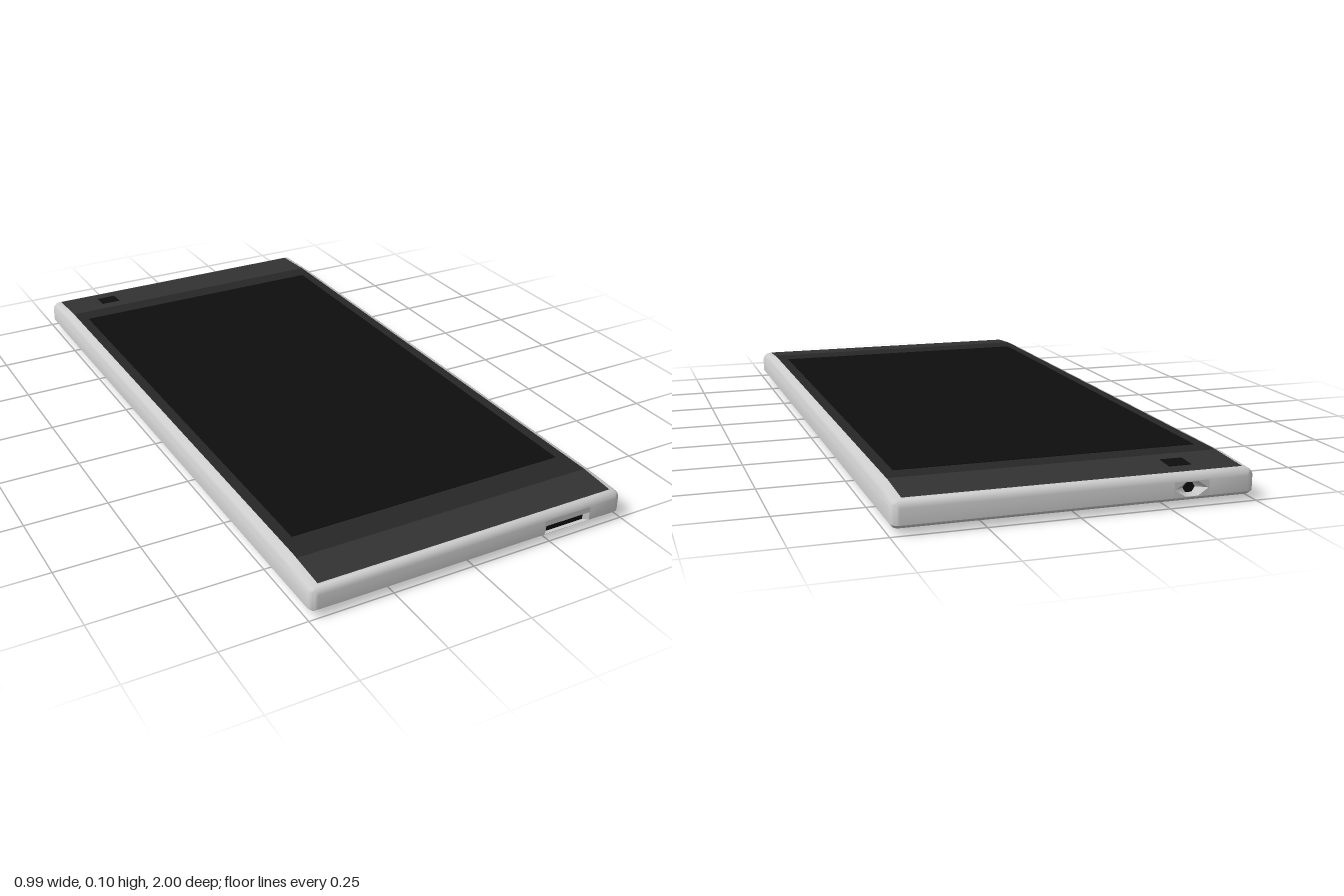
import * as THREE from 'three';
import { toCreasedNormals } from 'three/addons/utils/BufferGeometryUtils.js';

const material = (color) => new THREE.MeshStandardMaterial({ color });
const grey = material(0xcccccc);
const black = material(0x0e0e0e);
const glassDark = material(0x272727);
const glassLight = material(0x323232);

function add(parent, name, geometry, mat) {
  const mesh = new THREE.Mesh(geometry, mat);
  mesh.name = name;
  parent.add(mesh);
  return mesh;
}

function fromTriangles(points) {
  const geometry = new THREE.BufferGeometry().setFromPoints(points);
  return toCreasedNormals(geometry, 0.7);
}

// Shell levels from bottom to top: inset in x, inset in z, height
const levels = [
  [0.06, 0.12, 0], [0.038, 0.07, 0.004], [0.022, 0.035, 0.009], [0.009, 0.012, 0.017],
  [0, 0, 0.027], [0, 0, 0.07], [0.003, 0.002, 0.08], [0.009, 0.006, 0.089],
  [0.018, 0.012, 0.096], [0.03, 0.02, 0.1],
];
const FRONT_PORT = 0, BACK_PORT = 14; // outline segments left open for the ports

// Outline of the shell at one level; the top rim dips towards both ends
function outline([ix, iz, y]) {
  const a = 0.495 - ix, b = 1 - iz, r = Math.max(0.003, 0.022 - ix);
  const edges = [
    [[0.23, b], [0.385, b]], [[a, 0.85], [a, -0.85]],
    [[-0.26, -b], [-0.36, -b]], [[-a, -0.85], [-a, 0.85]],
  ];
  const flat = [];
  edges.forEach((edge, k) => {
    flat.push(...edge);
    const sx = k < 2 ? 1 : -1, sz = k === 0 || k === 3 ? 1 : -1;
    for (let j = 0; j <= 4; j++) {
      const t = (k + j / 4) * Math.PI / 2;
      flat.push([sx * (a - r) + r * Math.sin(t), sz * (b - r) + r * Math.cos(t)]);
    }
  });
  return flat.map(([x, z]) => {
    const dip = 0.008 * THREE.MathUtils.clamp((Math.abs(z) - 0.85) / 0.13, 0, 1);
    return new THREE.Vector3(x, y - dip * Math.max(0, (y - 0.07) / 0.03), z);
  });
}

function shellGeometry() {
  const rings = levels.map(outline), n = rings[0].length, tris = [];
  for (let l = 0; l < rings.length - 1; l++) {
    const lo = rings[l], hi = rings[l + 1];
    for (let i = 0; i < n; i++) {
      if (levels[l][2] === 0.027 && (i === FRONT_PORT || i === BACK_PORT)) continue;
      const j = (i + 1) % n;
      tris.push(lo[i], lo[j], hi[j], lo[i], hi[j], hi[i]);
    }
  }
  const centre = new THREE.Vector3();
  for (let i = 0; i < n; i++) tris.push(centre, rings[0][(i + 1) % n], rings[0][i]);
  return fromTriangles(tris);
}

const toShape = (points) => new THREE.Shape(points.map(([x, y]) => new THREE.Vector2(x, y)));

// Port on the +z end: face plate with a hole, flared walls and a dark floor
function port(name, x0, x1, outer, inner, depth) {
  const group = new THREE.Group();
  group.name = name;
  const plate = toShape([[x0, 0.027], [x1, 0.027], [x1, 0.07], [x0, 0.07]]);
  plate.holes.push(toShape(outer));
  add(group, name + 'Plate', new THREE.ShapeGeometry(plate).translate(0, 0, 1), grey);
  const o = outer.map(([x, y]) => new THREE.Vector3(x, y, 1));
  const d = inner.map(([x, y]) => new THREE.Vector3(x, y, 1 - depth));
  const tris = [];
  o.forEach((p, i) => {
    const j = (i + 1) % o.length;
    tris.push(p, o[j], d[j], p, d[j], d[i]);
  });
  add(group, name + 'Walls', fromTriangles(tris), grey);
  add(group, name + 'Floor', new THREE.ShapeGeometry(toShape(inner)).translate(0, 0, 1 - depth), black);
  return group;
}

// Slab of glass across the width, from a profile of [z, y] points
function glassGeometry(profile) {
  return new THREE.ExtrudeGeometry(toShape(profile), { depth: 0.93, bevelEnabled: false })
    .rotateY(-Math.PI / 2).translate(0.465, 0, 0);
}

export function createModel() {
  const model = new THREE.Group();
  model.name = 'phone';

  add(model, 'shell', shellGeometry(), grey);

  // Charging slot at the front, flared at its two ends
  model.add(port('chargingSlot', 0.23, 0.385,
    [[0.231, 0.028], [0.384, 0.028], [0.384, 0.053], [0.231, 0.053]],
    [[0.245, 0.028], [0.37, 0.028], [0.37, 0.053], [0.245, 0.053]], 0.012));

  // Headphone socket at the back, a six-sided funnel
  const ring = [];
  for (let i = 0; i < 6; i++) {
    const t = Math.PI + i * Math.PI / 3;
    ring.push([0.31 + 0.018 * Math.cos(t), 0.0485 + 0.016 * Math.sin(t)]);
  }
  const socket = port('headphoneSocket', 0.26, 0.36,
    [[0.262, 0.0485], [0.292, 0.029], [0.328, 0.029], [0.358, 0.0485], [0.328, 0.068], [0.292, 0.068]],
    ring, 0.02);
  socket.rotation.y = Math.PI;
  model.add(socket);

  // Front glass: flat middle with gently sloping ends
  add(model, 'glassMiddle', glassGeometry([[-0.835, 0.08], [0.87, 0.08], [0.87, 0.1], [-0.835, 0.1]]), glassDark);
  add(model, 'glassFrontEnd', glassGeometry([[0.87, 0.08], [0.98, 0.08], [0.98, 0.092], [0.87, 0.1]]), glassLight);
  add(model, 'glassBackEnd', glassGeometry([[-0.98, 0.08], [-0.835, 0.08], [-0.835, 0.1], [-0.98, 0.092]]), glassLight);

  // Screen and camera window
  add(model, 'screen', new THREE.BoxGeometry(0.864, 0.004, 1.55), black).position.set(0, 0.0995, 0.005);
  const lens = add(model, 'cameraWindow', new THREE.BoxGeometry(0.064, 0.004, 0.056), black);
  lens.position.set(-0.307, 0.0955, -0.907);
  lens.rotation.x = -0.055;

  return model;
}
